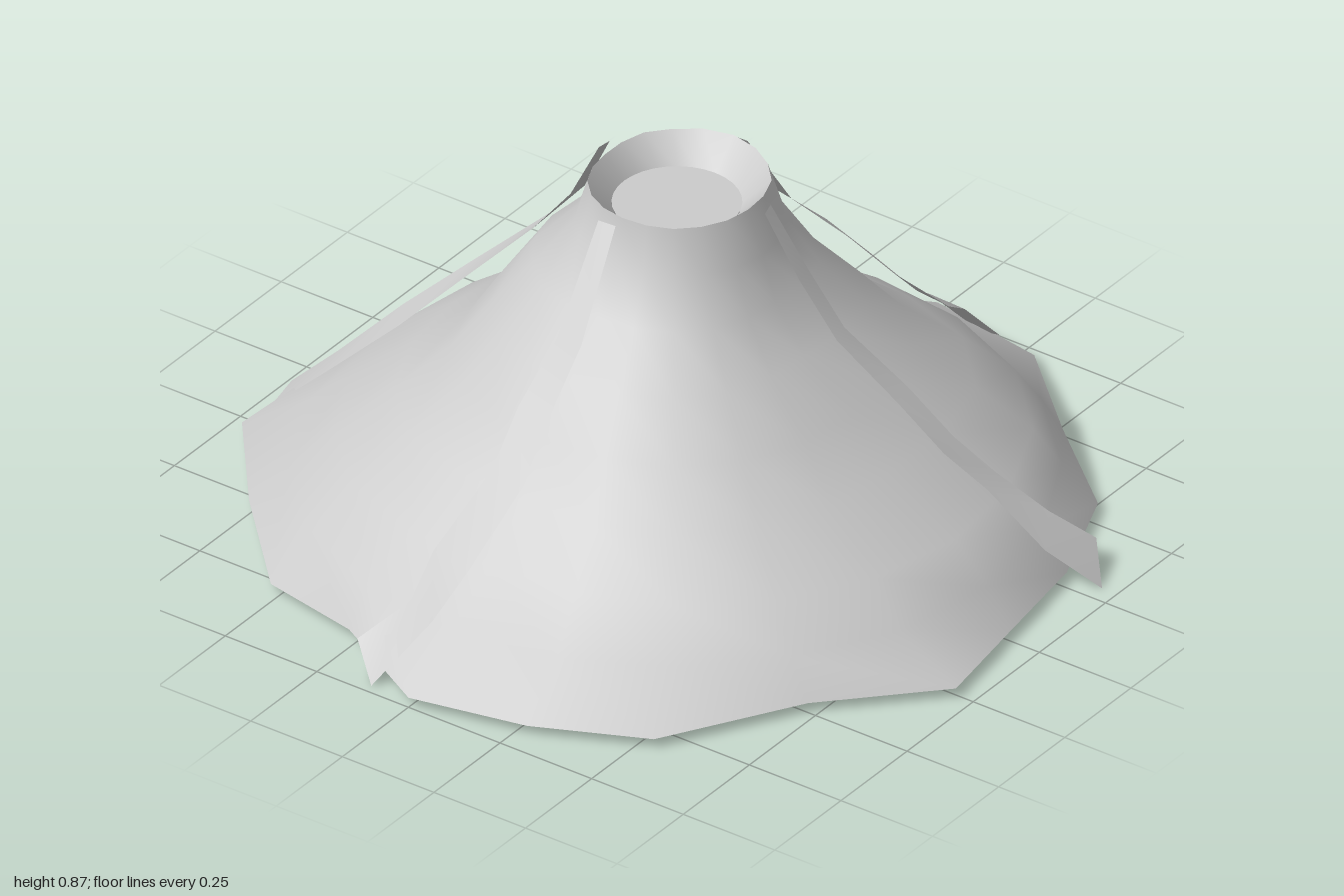
import * as THREE from 'three';

const rock = new THREE.MeshStandardMaterial({ color: 0xcccccc, side: THREE.DoubleSide });
rock.name = 'pale grey rock';

// Foot of the mountain, clockwise from the back (x, z)
const outline = [
  [0, -1], [0.3, -0.95], [0.53, -0.74], [0.77, -0.54], [0.88, -0.27],
  [0.92, 0], [0.96, 0.26], [0.73, 0.5], [0.54, 0.82], [0.28, 0.94],
  [0, 1], [-0.27, 0.85], [-0.52, 0.8], [-0.76, 0.55], [-0.96, 0.3],
  [-0.93, 0], [-0.87, -0.33], [-0.72, -0.57], [-0.57, -0.735], [-0.29, -0.86],
];
const N = outline.length;

// Slope radii at each height, in eight directions clockwise from the back
const heights = [0.875, 0.77, 0.66, 0.55, 0.44, 0.33, 0.22, 0.13];
const slopes = [
  [0.23, 0.245, 0.3, 0.38, 0.48, 0.62, 0.77, 0.84],
  [0.22, 0.255, 0.33, 0.44, 0.54, 0.68, 0.8, 0.86],
  [0.205, 0.245, 0.28, 0.36, 0.49, 0.59, 0.77, 0.86],
  [0.2, 0.23, 0.29, 0.39, 0.5, 0.61, 0.73, 0.83],
  [0.19, 0.205, 0.28, 0.39, 0.48, 0.57, 0.69, 0.84],
  [0.19, 0.22, 0.31, 0.41, 0.5, 0.62, 0.75, 0.85],
  [0.185, 0.22, 0.33, 0.4, 0.46, 0.6, 0.75, 0.85],
  [0.21, 0.24, 0.32, 0.41, 0.5, 0.62, 0.75, 0.84],
];

// One ring of the slope, blended between the eight directions
function slopeRing(y, level) {
  return outline.map((_, i) => {
    const d = (i / N) * slopes.length, q = Math.floor(d);
    const f = THREE.MathUtils.smoothstep(d - q, 0, 1);
    const r = THREE.MathUtils.lerp(slopes[q][level], slopes[(q + 1) % slopes.length][level], f);
    const a = (i / N) * Math.PI * 2;
    return [r * Math.sin(a), y, -r * Math.cos(a)];
  });
}

// Surface through a list of rings or rows
function skin(rows, closed) {
  const n = rows[0].length, index = [];
  for (let j = 0; j < rows.length - 1; j++) {
    for (let i = 0; i < (closed ? n : n - 1); i++) {
      const a = j * n + i, b = j * n + (i + 1) % n;
      index.push(a, b, a + n, b, b + n, a + n);
    }
  }
  const geo = new THREE.BufferGeometry();
  geo.setAttribute('position', new THREE.Float32BufferAttribute(rows.flat(2), 3));
  geo.setIndex(index);
  geo.computeVertexNormals();
  return geo;
}

// Thin ribbon along a centre line of [x, y, z, width, sideways tilt]
function ribbon(path) {
  const rows = path.map(([x, y, z, w, tilt = 0], i) => {
    const p = path[Math.max(i - 1, 0)], q = path[Math.min(i + 1, path.length - 1)];
    const dx = q[0] - p[0], dz = q[2] - p[2], k = w / 2 / Math.hypot(dx, dz);
    return [[x + dz * k, y + tilt, z - dx * k], [x - dz * k, y - tilt, z + dx * k]];
  });
  return skin(rows, false);
}

const flows = {
  frontFlow: [
    [-0.025, 0.865, 0.215, 0.045], [-0.015, 0.64, 0.37, 0.065], [-0.035, 0.5, 0.48, 0.085],
    [-0.025, 0.39, 0.59, 0.095], [-0.065, 0.24, 0.75, 0.115], [-0.08, 0.15, 0.84, 0.1],
    [-0.16, 0.04, 0.945, 0.105, -0.03],
  ],
  leftFlow: [
    [0.23, 0.865, -0.04, 0.04], [0.31, 0.71, -0.065, 0.05], [0.4, 0.58, -0.08, 0.055],
    [0.53, 0.44, -0.135, 0.07], [0.64, 0.34, -0.155, 0.075], [0.72, 0.25, -0.205, 0.08],
    [0.84, 0.14, -0.25, 0.1, 0.02], [0.925, 0.045, -0.33, 0.1, 0.035],
  ],
  rightFlow: [
    [-0.22, 0.865, -0.045, 0.035], [-0.3, 0.71, -0.055, 0.045], [-0.41, 0.58, -0.07, 0.065],
    [-0.57, 0.42, -0.025, 0.065], [-0.7, 0.29, 0.06, 0.09], [-0.84, 0.15, 0.125, 0.09],
    [-0.96, 0.035, 0.15, 0.11],
  ],
  backFlow: [
    [0.005, 0.865, -0.24, 0.05], [0, 0.63, -0.41, 0.065], [0.065, 0.5, -0.53, 0.085],
    [0.095, 0.35, -0.66, 0.095], [0.16, 0.23, -0.76, 0.095], [0.12, 0.15, -0.87, 0.1],
    [0.17, 0.04, -0.96, 0.11, -0.025],
  ],
};

export function createModel() {
  const group = new THREE.Group();
  const add = (name, geo) => {
    const mesh = new THREE.Mesh(geo, rock);
    mesh.name = name;
    group.add(mesh);
    return mesh;
  };

  // Mountain slope, open underneath
  const rings = heights.map(slopeRing);
  rings.push(outline.map(([x, z]) => [x, 0.035, z]));
  add('mountainSlope', skin(rings, true));

  // Crater wall, narrowing down to the pool
  const floor = outline.map((_, i) => {
    const a = (i / N) * Math.PI * 2;
    return [0.145 * Math.sin(a), 0.81, -0.015 - 0.145 * Math.cos(a)];
  });
  add('craterWall', skin([floor, rings[0]], true));

  // Pool in the crater
  const pool = add('craterPool', new THREE.CircleGeometry(0.145, 32));
  pool.rotation.x = -Math.PI / 2;
  pool.position.set(0, 0.812, -0.015);

  // Flows running down the four sides
  for (const [name, path] of Object.entries(flows)) add(name, ribbon(path));
  return group;
}
